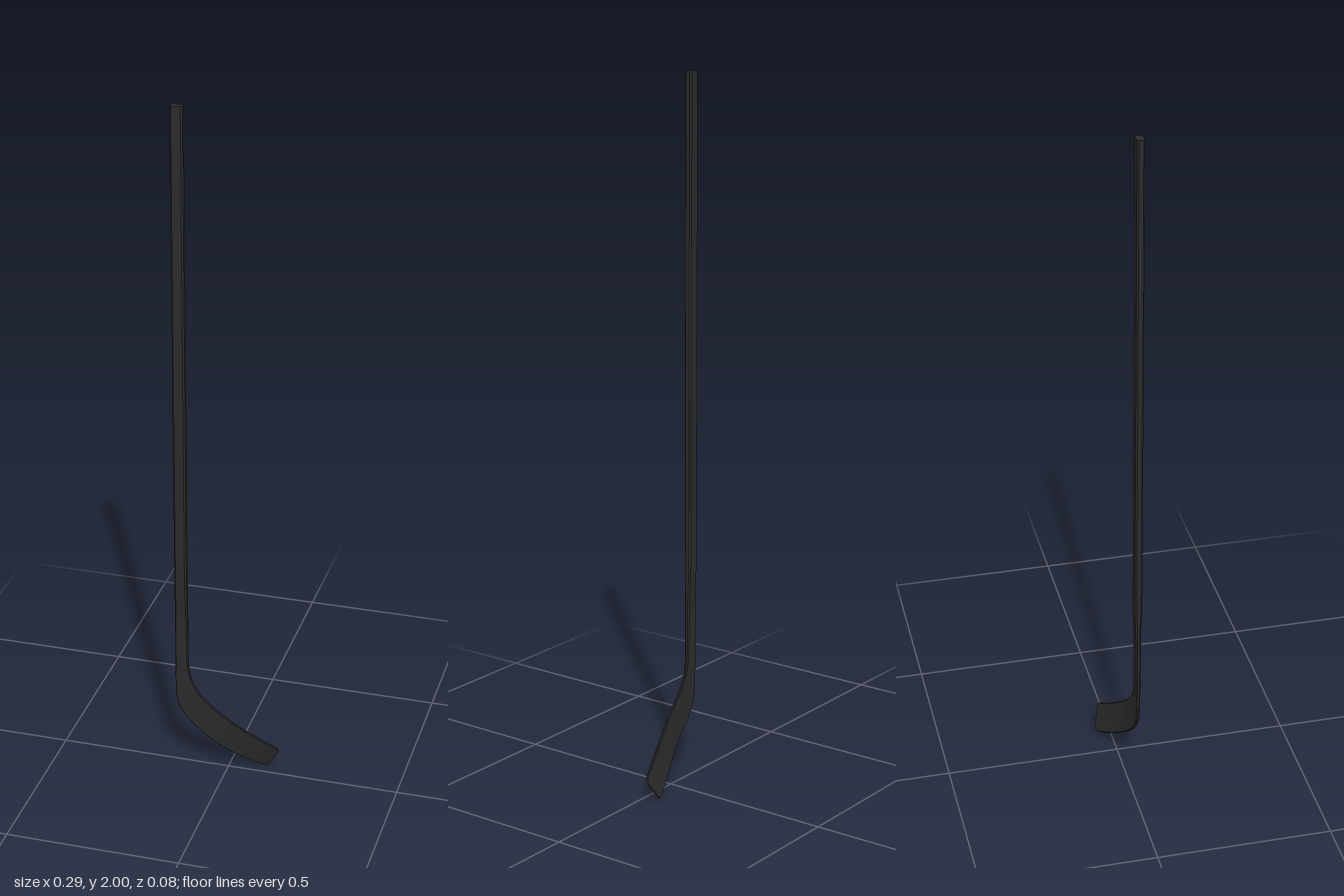
import * as THREE from 'three';
import { toCreasedNormals } from 'three/addons/utils/BufferGeometryUtils.js';

const V = (x, y, z) => new THREE.Vector3(x, y, z);

// Each station: lower/outer edge, upper/inner edge, thickness, corner chamfer
const shaftStations = [
  [V(-0.148, 2, 0.028), V(-0.113, 2, 0.028), 0.021, 0.0045],
  [V(-0.148, 0.65, 0.028), V(-0.113, 0.65, 0.028), 0.021, 0.0045],
  [V(-0.148, 0.56, 0.028), V(-0.112, 0.56, 0.028), 0.020, 0.0045],
  [V(-0.148, 0.53, 0.028), V(-0.112, 0.53, 0.028), 0.016, 0.004],
  [V(-0.148, 0.46, 0.028), V(-0.111, 0.46, 0.028), 0.0145, 0.0035],
  [V(-0.148, 0.36, 0.028), V(-0.111, 0.36, 0.028), 0.013, 0.003],
];
const bladeStations = [
  shaftStations.at(-1),
  [V(-0.148, 0.27, 0.028), V(-0.107, 0.315, 0.028), 0.011, 0.003],
  [V(-0.146, 0.23, 0.028), V(-0.097, 0.282, 0.028), 0.010, 0.003],
  [V(-0.135, 0.193, 0.027), V(-0.08, 0.253, 0.028), 0.009, 0.0025],
  [V(-0.113, 0.16, 0.025), V(-0.05, 0.22, 0.026), 0.009, 0.0025],
  [V(-0.07, 0.118, 0.022), V(-0.01, 0.184, 0.021), 0.009, 0.0025],
  [V(-0.02, 0.075, 0.010), V(0.035, 0.146, 0.010), 0.009, 0.0025],
  [V(0.03, 0.039, -0.009), V(0.08, 0.113, -0.003), 0.008, 0.0025],
  [V(0.075, 0.012, -0.027), V(0.117, 0.087, -0.014), 0.008, 0.0025],
  [V(0.092, 0.003, -0.034), V(0.134, 0.077, -0.020), 0.007, 0.002],
  [V(0.104, 0.001, -0.039), V(0.143, 0.066, -0.024), 0.006, 0.002],
  [V(0.112, 0.008, -0.040), V(0.144, 0.058, -0.025), 0.004, 0.001],
];

// Smooth the stations along the blade
function refine(stations, steps) {
  const low = new THREE.CatmullRomCurve3(stations.map((s) => s[0]));
  const high = new THREE.CatmullRomCurve3(stations.map((s) => s[1]));
  const last = stations.length - 1;
  const out = [];
  for (let i = 0; i <= last * steps; i++) {
    const k = Math.min(Math.floor(i / steps), last - 1), f = i / steps - k;
    const mix = (n) => THREE.MathUtils.lerp(stations[k][n], stations[k + 1][n], f);
    const t = i / (last * steps);
    out.push([low.getPoint(t), high.getPoint(t), mix(2), mix(3)]);
  }
  return out;
}

// Loft a chamfered rectangle through the stations
function loft(stations, capStart, capEnd) {
  const pos = [], idx = [], N = 8;
  const mids = stations.map(([a, b]) => a.clone().add(b).multiplyScalar(0.5));
  stations.forEach(([a, b, t, c], i) => {
    const w = b.clone().sub(a), h = w.length() / 2, q = t / 2;
    w.normalize();
    const d = mids[Math.min(i + 1, mids.length - 1)].clone().sub(mids[Math.max(i - 1, 0)]);
    const n = d.cross(w).normalize();
    const ring = [[h, -q + c], [h, q - c], [h - c, q], [c - h, q], [-h, q - c], [-h, c - q], [c - h, -q], [h - c, -q]];
    for (const [u, v] of ring) {
      pos.push(...mids[i].clone().addScaledVector(w, u).addScaledVector(n, v).toArray());
    }
    if (i === 0) return;
    for (let j = 0; j < N; j++) {
      const p = (i - 1) * N + j, r = (i - 1) * N + (j + 1) % N;
      idx.push(p, r, p + N, r, r + N, p + N);
    }
  });
  const end = (stations.length - 1) * N;
  for (let j = 1; j < N - 1; j++) {
    if (capStart) idx.push(0, j + 1, j);
    if (capEnd) idx.push(end, end + j, end + j + 1);
  }
  const geo = new THREE.BufferGeometry();
  geo.setAttribute('position', new THREE.Float32BufferAttribute(pos, 3));
  geo.setIndex(idx);
  return toCreasedNormals(geo, 0.6);
}

export function createModel() {
  const group = new THREE.Group();
  group.name = 'hockeyStick';
  const black = new THREE.MeshStandardMaterial({ color: 0x2b2b2b });
  black.name = 'matte black';

  const add = (name, geometry) => {
    const mesh = new THREE.Mesh(geometry, black);
    mesh.name = name;
    group.add(mesh);
  };
  add('shaft', loft(shaftStations, true, false));
  add('blade', loft(refine(bladeStations, 4), false, true));
  return group;
}
